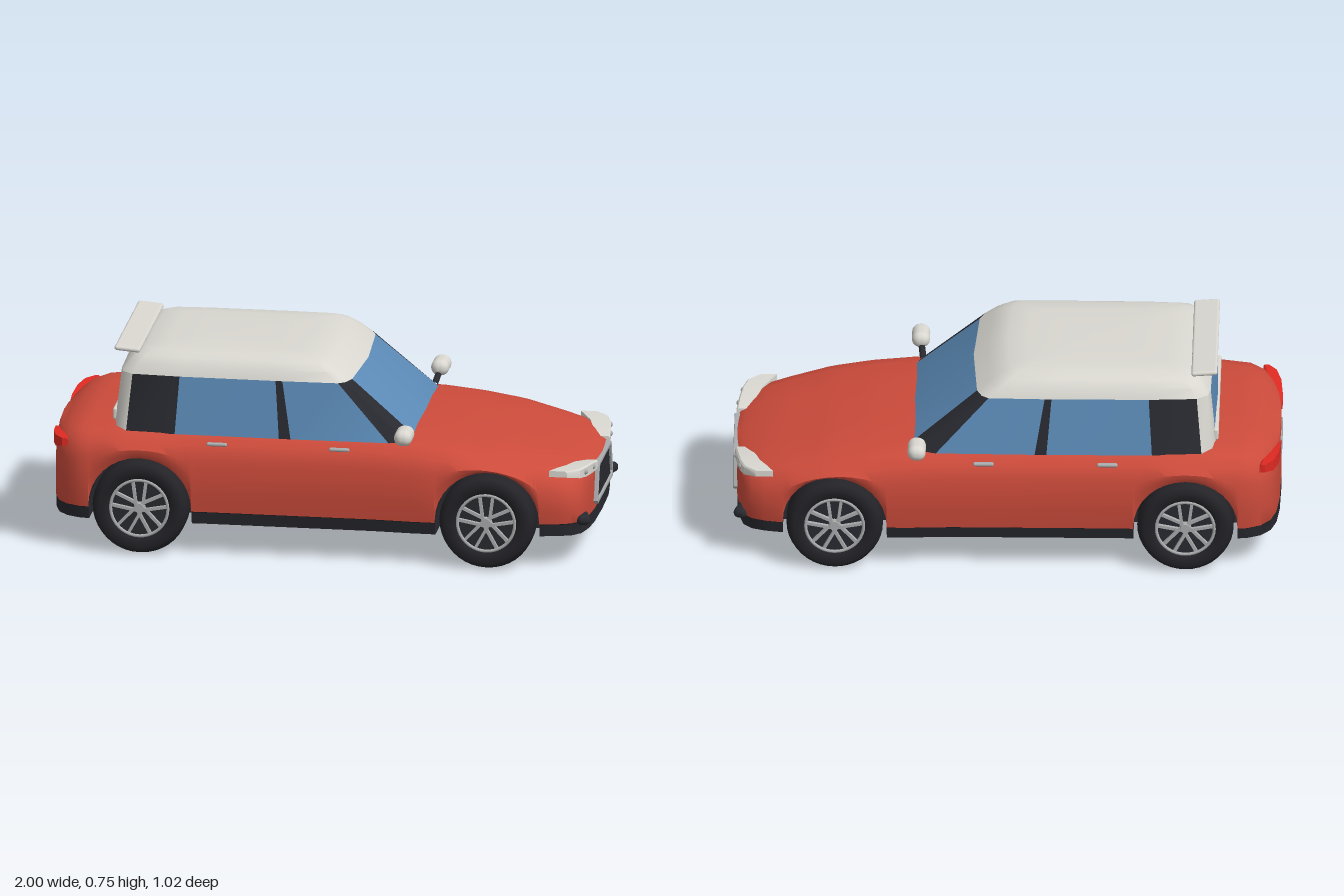
import * as THREE from 'three';
import { toCreasedNormals } from 'three/addons/utils/BufferGeometryUtils.js';
import { RoundedBoxGeometry } from 'three/addons/geometries/RoundedBoxGeometry.js';

const mat = (name, color) => Object.assign(new THREE.MeshStandardMaterial({ color }), { name });

// Skin closed rings of [x, y, z]; pick(j) gives the material slot of each column
function loft(rings, pick = () => 0, crease = 0.7, caps = false) {
  if (caps) {
    const mid = (r) => r.map(() => [0, 1, 2].map((k) => r.reduce((s, p) => s + p[k], 0) / r.length));
    rings = [mid(rings[0]), ...rings, mid(rings[rings.length - 1])];
  }
  const n = rings[0].length, lists = [];
  for (let i = 0; i < rings.length - 1; i++) {
    for (let j = 0; j < n; j++) {
      const a = i * n + j, b = i * n + (j + 1) % n;
      (lists[pick(j)] ??= []).push(a, b, b + n, a, b + n, a + n);
    }
  }
  const geo = new THREE.BufferGeometry();
  geo.setAttribute('position', new THREE.Float32BufferAttribute(rings.flat(2), 3));
  geo.setIndex(lists.flat());
  let start = 0;
  lists.forEach((l, slot) => { geo.addGroup(start, l.length, slot); start += l.length; });
  return toCreasedNormals(geo, crease);
}

// Complete a half ring (z >= 0) with its mirrored half
const mirrorRing = (half) => [...half, ...half.slice(1, -1).reverse().map(([x, y, z]) => [x, y, -z])];

export function createModel() {
  const car = new THREE.Group();
  car.name = 'car';
  const red = mat('redPaint', 0xcc4b3b), white = mat('whitePaint', 0xd9d7d0), glass = mat('glass', 0x5b8ab6);
  const dark = mat('darkTrim', 0x292a30), rubber = mat('rubber', 0x232328), metal = mat('metal', 0xa9abac);
  const lampRed = mat('tailLampRed', 0xe02a22);
  const add = (name, geo, m, x = 0, y = 0, z = 0, parent = car) => {
    const mesh = new THREE.Mesh(geo, m);
    mesh.name = name;
    mesh.position.set(x, y, z);
    parent.add(mesh);
    return mesh;
  };

  // Lower body: stations of [x, half width, top height]
  const keys = [[-0.998, 0, 0.41], [-0.995, 0.18, 0.412], [-0.985, 0.29, 0.415], [-0.965, 0.36, 0.43],
    [-0.93, 0.405, 0.452], [-0.88, 0.43, 0.467], [-0.75, 0.447, 0.475], [-0.6, 0.45, 0.477], [-0.43, 0.441, 0.477],
    [0.2, 0.441, 0.477], [0.35, 0.449, 0.472], [0.5, 0.45, 0.457], [0.65, 0.44, 0.436], [0.8, 0.416, 0.402],
    [0.88, 0.4, 0.382], [0.93, 0.38, 0.365], [0.96, 0.345, 0.352], [0.977, 0.27, 0.345], [0.985, 0.18, 0.34], [0.988, 0, 0.34]];
  const at = (x) => {
    const i = Math.max(1, keys.findIndex((k) => k[0] >= x)), [p, q] = [keys[i - 1], keys[i]];
    const f = (x - p[0]) / (q[0] - p[0]);
    return [p[1] + f * (q[1] - p[1]), p[2] + f * (q[2] - p[2])];
  };
  const axles = [-0.655, 0.625], R = 0.19, hubY = 0.177;
  const stations = keys.filter((k) => axles.every((c) => Math.abs(k[0] - c) > R)).map((k) => [k[0], 0.17, false]);
  for (const c of axles) {
    stations.push([c - R, 0.17, false], [c + R, 0.17, false]);
    for (let i = 0; i <= 16; i++) {
      const t = Math.PI * i / 16;
      stations.push([c - (R - 1e-4) * Math.cos(t), hubY + R * Math.sin(t), true]);
    }
  }
  stations.sort((a, b) => a[0] - b[0]);
  const bodyRings = stations.map(([x, a, arch]) => {
    const [w, t] = at(x), s = t - 0.055;
    return mirrorRing([[x, t, 0], [x, t - 0.002, 0.4 * w], [x, t - 0.008, 0.7 * w], [x, t - 0.025, 0.86 * w],
      [x, s, 0.955 * w], [x, Math.max(t - 0.11, a + 0.6 * (s - a)), w], [x, a + 0.3 * (s - a), 0.995 * w],
      [x, a, 0.975 * w], [x, a - (arch ? 0 : 0.005), arch ? 0.28 : 0.955 * w],
      [x, 0.12, arch ? 0.28 : 0.93 * w], [x, 0.12, 0]]);
  });
  add('body', loft(bodyRings, (j) => (Math.min(j, 19 - j) < 7 ? 0 : 1)), [red, dark]);

  // Cabin: columns of [bottom x, bottom z, top x, top z, slot], front centre to rear centre
  const cols = [[0.325, 0, 0.125, 0, 1], [0.313, 0.305, 0.108, 0.285, 2], [0.285, 0.36, 0.09, 0.328, 2],
    [0.225, 0.38, 0.065, 0.347, 1], [-0.11, 0.385, -0.14, 0.352, 2], [-0.15, 0.385, -0.165, 0.352, 1],
    [-0.53, 0.383, -0.52, 0.35, 2], [-0.71, 0.372, -0.695, 0.34, 0], [-0.75, 0.34, -0.735, 0.31, 0],
    [-0.763, 0.29, -0.745, 0.265, 1], [-0.77, 0, -0.75, 0, 1]];
  const cabinRing = (f, y, sx = 1, sz = 1, dx = 0) => mirrorRing(cols.map(([bx, bz, tx, tz]) => [
    (bx + f * (tx - bx) + 0.31) * sx - 0.31 + dx, y, -(bz + f * (tz - bz)) * sz]));
  add('cabinSides', loft([cabinRing(-0.2, 0.45), cabinRing(1, 0.658)], (j) => cols[Math.min(j, 19 - j)][4]), [white, glass, dark]);
  add('roof', loft([[0.658, 1, 1, 0], [0.695, 0.915, 0.96, -0.012], [0.72, 0.84, 0.89, -0.018], [0.734, 0.76, 0.8, -0.02],
    [0.741, 0.6, 0.6, -0.02], [0.744, 0.3, 0.3, -0.02], [0.745, 0, 0, -0.02]].map(([y, ...s]) => cabinRing(1, y, ...s))), white);
  add('rearWindowSill', new RoundedBoxGeometry(0.02, 0.045, 0.6, 2, 0.008), white, -0.764, 0.49, 0);

  // Roof spoiler on two short stays
  add('spoiler', new RoundedBoxGeometry(0.095, 0.018, 0.585, 3, 0.009), white, -0.722, 0.735, 0).rotation.z = -0.08;
  for (const z of [-0.15, 0.15]) add('spoilerStay', new THREE.BoxGeometry(0.03, 0.04, 0.02), white, -0.69, 0.715, z);

  // Grille: bright frame, dark panel and slats
  const trapezoid = (Type, d) => {
    const s = new Type(), b = 0.188 - d, t = 0.152 - d, lo = 0.19 + d, hi = 0.338 - d, c = 0.012;
    [[-b + c, lo], [b - c, lo], [b, lo + c], [t, hi - c], [t - c, hi], [-t + c, hi], [-t, hi - c], [-b, lo + c]]
      .forEach(([x, y], i) => (i ? s.lineTo(x, y) : s.moveTo(x, y)));
    s.closePath();
    return s;
  };
  const extrudeX = (shape, depth, bevel) => new THREE.ExtrudeGeometry(shape, {
    depth, bevelEnabled: bevel > 0, bevelSize: bevel, bevelThickness: bevel, bevelSegments: 2 }).rotateY(Math.PI / 2);
  const frame = trapezoid(THREE.Shape, 0.003);
  frame.holes.push(trapezoid(THREE.Path, 0.012));
  add('grilleFrame', extrudeX(frame, 0.03, 0.003), metal, 0.967);
  add('grillePanel', extrudeX(trapezoid(THREE.Shape, 0.01), 0.03, 0), dark, 0.96);
  for (let i = 0; i < 4; i++) {
    add('grilleSlat', new RoundedBoxGeometry(0.012, 0.006, 0.29 - i * 0.02, 2, 0.003), rubber, 0.991, 0.215 + i * 0.032, 0);
  }

  // Lamps wrap round the corners: sections of [z, front x, back x, low y, high y]
  const lamp = (name, m, list) => {
    for (const side of [1, -1]) {
      const rings = list.map(([z, xa, xb, lo, hi]) => [[xa, lo, z * side], [xa, hi - 0.006, z * side],
        [xa - 0.006, hi, z * side], [xb, hi, z * side], [xb, lo, z * side]]);
      add(name, loft(side > 0 ? rings : rings.reverse(), () => 0, 0.6, true), m);
    }
  };
  lamp('headlight', white, [[0.15, 0.994, 0.93, 0.318, 0.35], [0.22, 0.986, 0.92, 0.322, 0.362], [0.29, 0.975, 0.9, 0.328, 0.368],
    [0.345, 0.958, 0.87, 0.336, 0.371], [0.385, 0.915, 0.85, 0.348, 0.371]]);
  lamp('tailLight', lampRed, [[0.14, -0.97, -1.0, 0.372, 0.386], [0.2, -0.96, -1.0, 0.368, 0.405], [0.29, -0.95, -0.993, 0.37, 0.415],
    [0.36, -0.93, -0.975, 0.378, 0.42], [0.4, -0.925, -0.945, 0.39, 0.42]]);
  add('numberPlate', new THREE.BoxGeometry(0.008, 0.06, 0.18), metal, -0.998, 0.335, 0);

  for (const side of [1, -1]) {
    // Headlight bulbs and fog lamps
    for (const [x, y, z] of [[0.984, 0.343, 0.21], [0.97, 0.349, 0.3]]) {
      add('headlightBulb', new THREE.SphereGeometry(0.011, 12, 8), metal, x, y, z * side);
    }
    const fog = add('fogLamp', new RoundedBoxGeometry(0.05, 0.038, 0.12, 4, 0.018), dark, 0.958, 0.177, 0.3 * side);
    fog.rotation.y = side * 0.3;

    // Door mirrors
    const stalk = new THREE.LineCurve3(new THREE.Vector3(0.315, 0.455, 0.355 * side), new THREE.Vector3(0.325, 0.495, 0.435 * side));
    add('mirrorStalk', new THREE.TubeGeometry(stalk, 1, 0.012, 8), dark);
    add('mirror', new RoundedBoxGeometry(0.066, 0.06, 0.112, 5, 0.029), white, 0.325, 0.501, 0.452 * side);

    // Door handles
    for (const x of [-0.37, 0.082]) {
      add('doorHandle', new RoundedBoxGeometry(0.075, 0.013, 0.018, 2, 0.006), metal, x, 0.43, 0.43 * side);
    }

    // Wheels
    for (const x of axles) {
      const wheel = new THREE.Group();
      wheel.name = 'wheel';
      wheel.position.set(x, hubY, 0.382 * side);
      wheel.rotation.y = side > 0 ? 0 : Math.PI;
      car.add(wheel);
      const tyre = [[0.1, -0.06], [0.15, -0.072], [0.168, -0.058], [0.176, -0.03], [0.176, 0.03], [0.168, 0.056],
        [0.15, 0.07], [0.118, 0.066], [0.106, 0.05]].map(([r, y]) => new THREE.Vector2(r, y));
      add('tyre', new THREE.LatheGeometry(tyre, 40).rotateX(Math.PI / 2), rubber, 0, 0, 0, wheel);
      add('rimBarrel', new THREE.CylinderGeometry(0.108, 0.108, 0.09, 32).rotateX(Math.PI / 2), dark, 0, 0, -0.005, wheel);
      add('rimRing', new THREE.TorusGeometry(0.106, 0.006, 8, 40), metal, 0, 0, 0.056, wheel);
      add('hub', new THREE.CylinderGeometry(0.018, 0.022, 0.018, 16).rotateX(Math.PI / 2), metal, 0, 0, 0.053, wheel);
      for (let k = 0; k < 5; k++) {
        const angle = Math.PI / 2 + k * Math.PI * 2 / 5;
        for (const lean of [-0.16, 0.16]) {
          const spoke = new THREE.BoxGeometry(0.092, 0.011, 0.014).translate(0.058, lean * 0.07, 0).rotateZ(lean * 0.8 + angle);
          add('spoke', spoke, metal, 0, 0, 0.05, wheel);
        }
      }
    }
  }
  return car;
}
